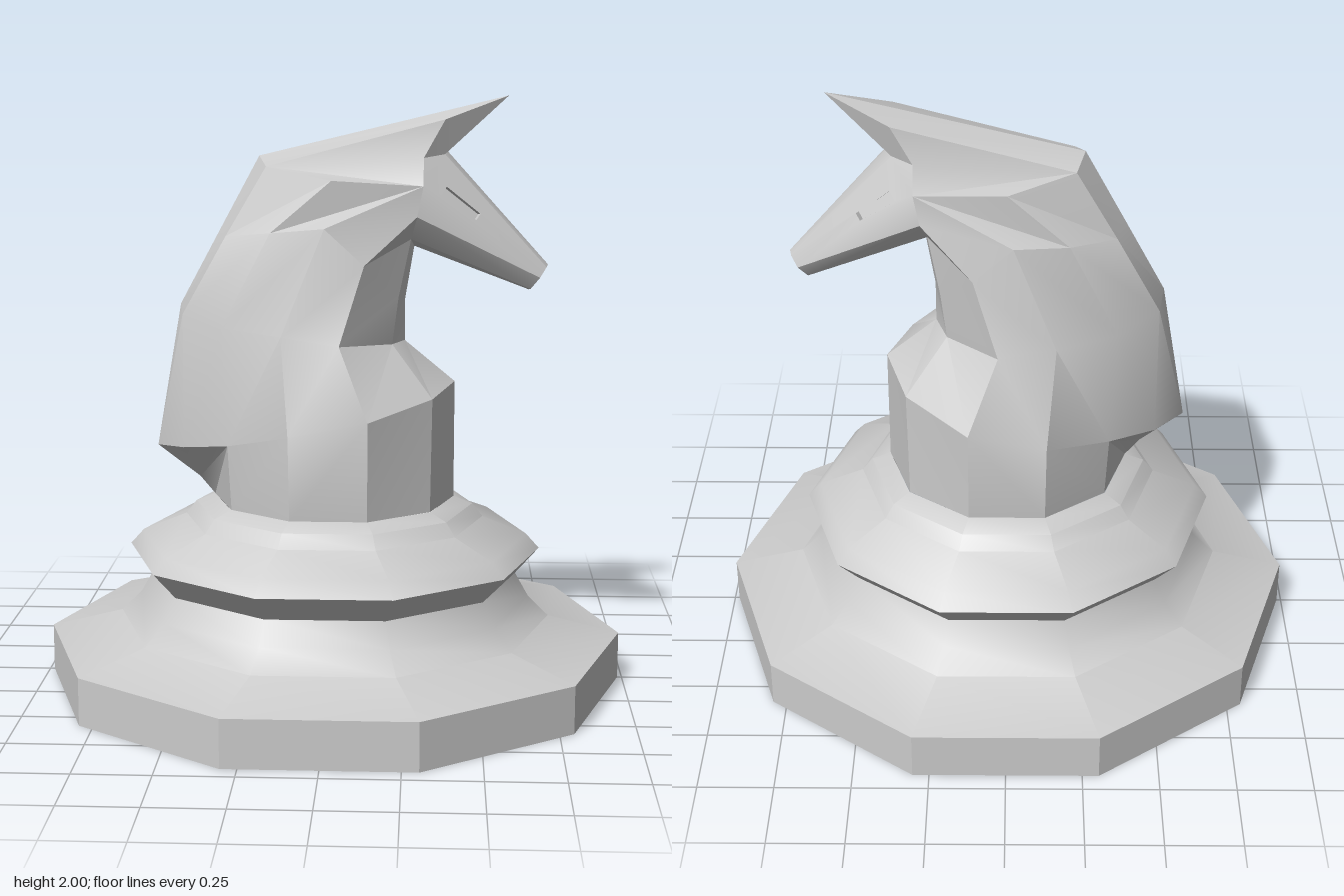
import * as THREE from 'three';
import { toCreasedNormals } from 'three/addons/utils/BufferGeometryUtils.js';

const material = new THREE.MeshStandardMaterial({ color: 0xcccccc, side: THREE.DoubleSide });
const v = (x, y, z) => new THREE.Vector3(x, y, z);

// Fans each polygon into triangles and mirrors it across z = 0
function mirroredGeometry(faces) {
  const out = [];
  for (const f of faces) {
    for (let i = 1; i < f.length - 1; i++) {
      const tri = [f[0], f[i], f[i + 1]];
      for (const p of tri) out.push(p.x, p.y, p.z);
      for (const p of tri.reverse()) out.push(p.x, p.y, -p.z);
    }
  }
  const g = new THREE.BufferGeometry();
  g.setAttribute('position', new THREE.Float32BufferAttribute(out, 3));
  return g;
}

function addMesh(group, name, geometry, crease) {
  const mesh = new THREE.Mesh(toCreasedNormals(geometry, crease), material);
  mesh.name = name;
  group.add(mesh);
}

// Ten-sided turned foot, open underneath
function pedestalGeometry() {
  const profile = [
    [0.985, 0], [0.985, 0.16], [0.74, 0.22], [0.67, 0.29], [0.625, 0.37], [0.705, 0.46],
    [0.66, 0.51], [0.51, 0.57], [0.475, 0.615], [0.41, 0.64],
  ].map(([r, y]) => new THREE.Vector2(r, y));
  return new THREE.LatheGeometry(profile, 10).rotateY(Math.PI / 2);
}

export function createModel() {
  const group = new THREE.Group();
  addMesh(group, 'pedestal', pedestalGeometry(), 0.6);

  // Half cross-sections running from the mane ridge round to the throat
  const foot = [v(-0.41, 0.64, 0), v(-0.33, 0.64, 0.24), v(-0.127, 0.64, 0.39),
    v(0.127, 0.64, 0.39), v(0.33, 0.64, 0.24), v(0.41, 0.64, 0)];
  const rows = [
    // mane tip and chest top
    [v(-0.605, 0.81, 0), v(-0.5, 0.83, 0.14), v(-0.34, 0.86, 0.26), v(-0.13, 0.92, 0.41),
      v(0.127, 0.97, 0.41), v(0.335, 1.02, 0.24), v(0.41, 1.04, 0)],
    // top of the chest ledge
    [v(-0.52, 1.3, 0), v(-0.5, 1.28, 0.12), v(-0.36, 1.25, 0.23), v(-0.16, 1.23, 0.295),
      v(0.03, 1.2, 0.3), v(0.2, 1.185, 0.13), v(0.24, 1.18, 0)],
    // upper neck
    [v(-0.38, 1.56, 0), v(-0.355, 1.54, 0.11), v(-0.2, 1.56, 0.21), v(-0.02, 1.58, 0.265),
      v(0.11, 1.46, 0.26), v(0.22, 1.34, 0.12), v(0.24, 1.32, 0)],
    // crown, cheek and throat
    [v(-0.25, 1.8, 0), v(-0.22, 1.77, 0.1), v(0, 1.73, 0.19), v(0.3, 1.71, 0.15),
      v(0.28, 1.61, 0.16), v(0.26, 1.53, 0.08), v(0.27, 1.5, 0)],
  ];
  const [tip, , , crown] = rows;
  const neck = [];
  for (let r = 0; r < 3; r++) {
    for (let c = 0; c < 6; c++) {
      neck.push([rows[r][c], rows[r][c + 1], rows[r + 1][c + 1], rows[r + 1][c]]);
    }
  }
  // Body below the first section, with the notch under the mane
  const notch = v(-0.46, 0.7, 0);
  neck.push([foot[0], foot[1], tip[2], notch], [notch, tip[2], tip[1], tip[0]]);
  for (let c = 1; c < 5; c++) neck.push([foot[c], foot[c + 1], tip[c + 2], tip[c + 1]]);
  addMesh(group, 'neckAndChest', mirroredGeometry(neck), 0.5);

  // Flat crest ending in the pointed ear
  const [ridge, crest, side, brow, cheek, jaw, throat] = crown;
  const earSide = v(0.37, 1.925, 0.1), earTip = v(0.58, 2, 0), earBase = v(0.3, 1.8, 0.11);
  const fore = v(0.37, 1.81, 0.065), foreMid = v(0.38, 1.815, 0);
  addMesh(group, 'crestAndEar', mirroredGeometry([
    [ridge, crest, earSide, earTip],
    [crest, side, brow, earBase, earSide],
    [earSide, earBase, fore, earTip],
    [fore, foreMid, earTip],
  ]), 0.4);

  // Muzzle
  const noseTop = v(0.712, 1.433, 0.028), noseMid = v(0.718, 1.44, 0), noseSide = v(0.69, 1.4, 0.05);
  const chin = v(0.66, 1.36, 0.03), chinMid = v(0.655, 1.355, 0);
  const head = [
    [fore, noseTop, noseMid, foreMid],
    [earBase, brow, fore],
    [brow, cheek, noseSide],
    [cheek, jaw, chin, noseSide],
    [jaw, throat, chinMid, chin],
    [noseTop, noseSide, chin, chinMid, noseMid],
  ];
  // Face panel with a sunken eye slot
  const onFace = (t, s) => fore.clone().lerp(noseTop, t).lerp(brow.clone().lerp(noseSide, t), s);
  const outer = [fore, brow, noseSide, noseTop];
  const slot = [onFace(0.13, 0.6), onFace(0.13, 0.88), onFace(0.42, 0.78), onFace(0.42, 0.5)];
  const floor = slot.map((p) => p.clone().add(v(-0.008, -0.004, -0.02)));
  for (let i = 0; i < 4; i++) {
    const j = (i + 1) % 4;
    head.push([outer[i], outer[j], slot[j], slot[i]], [slot[i], slot[j], floor[j], floor[i]]);
  }
  head.push(floor);
  addMesh(group, 'head', mirroredGeometry(head), 0.5);

  return group;
}
